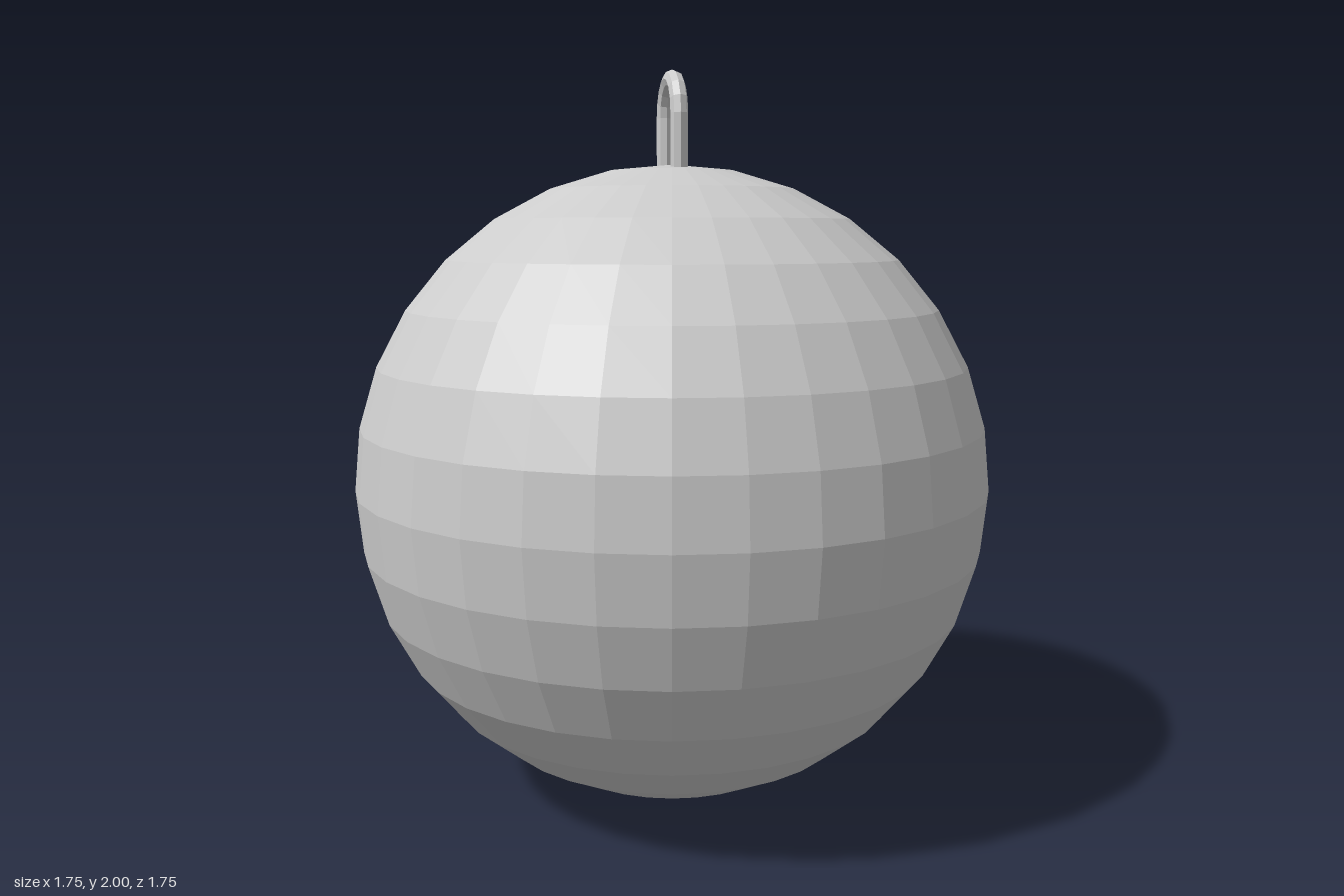
import * as THREE from 'three';

const material = new THREE.MeshStandardMaterial({ color: 0xcccccc, flatShading: true });

function addPart(parent, name, geometry, x, y, z) {
  const mesh = new THREE.Mesh(geometry, material);
  mesh.name = name;
  mesh.position.set(x, y, z);
  parent.add(mesh);
  return mesh;
}

export function createModel() {
  const model = new THREE.Group();
  model.name = 'hangingBall';

  // Faceted ball
  const radius = 0.874;
  addPart(model, 'ball', new THREE.SphereGeometry(radius, 32, 16), 0, radius, 0);

  // Hanger: a half ring on two straight legs, lying in the z-y plane
  const hanger = new THREE.Group();
  hanger.name = 'hanger';
  model.add(hanger);
  const ringRadius = 0.098, wire = 0.024, sides = 8;
  const archY = 2 - ringRadius - wire, legBottom = 1.71;
  const arch = new THREE.TorusGeometry(ringRadius, wire, sides, 8, Math.PI);
  addPart(hanger, 'hangerArch', arch, 0, archY, 0).rotation.y = Math.PI / 2;
  const legLength = archY - legBottom;
  for (const side of [1, -1]) {
    const leg = new THREE.CylinderGeometry(wire, wire, legLength, sides);
    addPart(hanger, side > 0 ? 'frontHangerLeg' : 'backHangerLeg', leg, 0, legBottom + legLength / 2, side * ringRadius);
  }

  return model;
}
